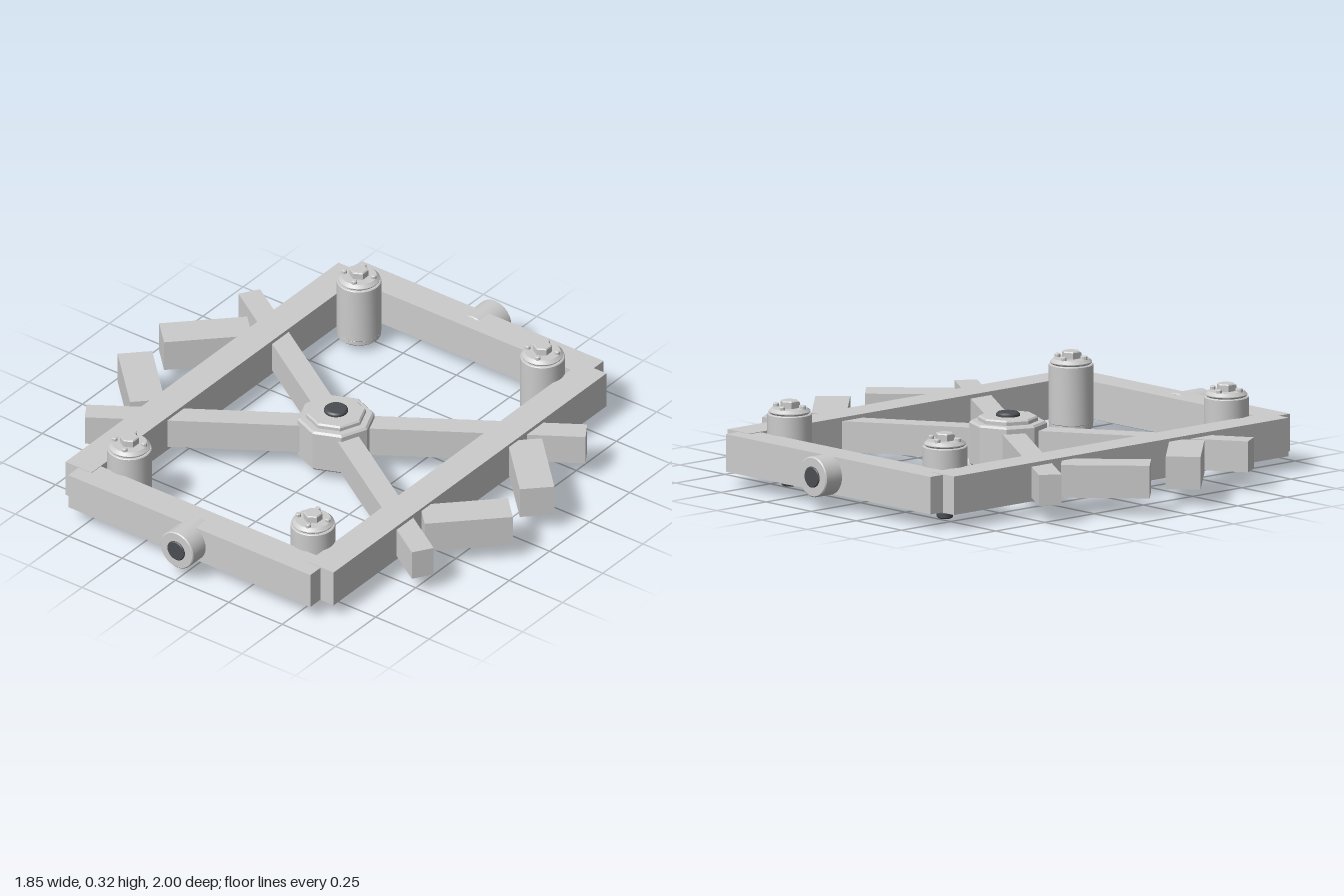
import * as THREE from 'three';
import { toCreasedNormals } from 'three/addons/utils/BufferGeometryUtils.js';

const grey = new THREE.MeshStandardMaterial({ color: 0xcccccc });
const dark = new THREE.MeshStandardMaterial({ color: 0x4a4d52 });
const MID = 0.13; // height of the frame's centre plane

function add(parent, name, geometry, x = 0, y = 0, z = 0, material = grey) {
  const mesh = new THREE.Mesh(geometry, material);
  mesh.name = name;
  mesh.position.set(x, y, z);
  parent.add(mesh);
  return mesh;
}

// Turned solid from [radius, height] points, bottom to top
function turned(points, sides) {
  const profile = points.map(([r, y]) => new THREE.Vector2(r, y));
  return toCreasedNormals(new THREE.LatheGeometry(profile, sides), 0.5);
}

// Vertical rod with a small chamfer on both ends
function rod(radius, bottom, top, sides = 24, c = 0.005) {
  return turned([[0, bottom], [radius - c, bottom], [radius, bottom + c],
    [radius, top - c], [radius - c, top], [0, top]], sides);
}

// Corner post with cap, hexagonal nut, small bolts and a dark foot
function cornerPost() {
  const post = new THREE.Group();
  post.name = 'cornerPost';
  add(post, 'postBody', rod(0.084, 0.05, 0.276, 32, 0.003));
  add(post, 'postCap', rod(0.079, 0.27, 0.297, 32, 0.012));
  add(post, 'postBase', rod(0.082, 0.03, 0.056, 32, 0.006));
  add(post, 'postNut', rod(0.036, 0.29, 0.325, 6, 0.004));
  add(post, 'postFoot', rod(0.031, 0, 0.04), 0, 0, 0, dark);
  for (let i = 0; i < 4; i++) {
    const a = -0.33 + i * Math.PI / 2;
    add(post, 'postBolt', rod(0.011, 0.28, 0.31, 10, 0.003),
      0.058 * Math.cos(a), 0, 0.058 * Math.sin(a));
  }
  return post;
}

export function createModel() {
  const model = new THREE.Group();
  model.name = 'frameAssembly';

  // Rectangular outer frame
  for (const s of [-1, 1]) {
    add(model, 'sideRail', new THREE.BoxGeometry(0.122, 0.147, 1.7), s * 0.567, MID, 0);
    add(model, 'endRail', new THREE.BoxGeometry(1.134, 0.143, 0.122), 0, MID, s * 0.853);
  }

  // Round pivots on the ends, each with a dark core
  for (const s of [-1, 1]) {
    const pivot = new THREE.Group();
    pivot.name = 'endPivot';
    pivot.position.set(0, MID, 0);
    pivot.rotation.x = s * Math.PI / 2;
    add(pivot, 'pivotSleeve', rod(0.077, 0.85, 0.994, 32, 0.004));
    add(pivot, 'pivotCore', rod(0.04, 0.9, 1.0, 24, 0.003), 0, 0, 0, dark);
    model.add(pivot);
  }

  // Crossed arms and slanted outer blocks
  for (const sx of [-1, 1]) for (const sz of [-1, 1]) {
    const angle = 0.573;
    const arm = add(model, 'diagonalArm', new THREE.BoxGeometry(0.9, 0.118, 0.087),
      sx * 0.49 * Math.cos(angle), MID, sz * 0.49 * Math.sin(angle));
    arm.rotation.y = -sx * sz * angle;
    const block = add(model, 'outerBlock', new THREE.BoxGeometry(0.333, 0.124, 0.131),
      sx * 0.762, MID, sz * 0.201);
    block.rotation.y = sx * sz * Math.PI / 4;
    const post = cornerPost();
    post.position.set(sx * 0.43, 0, sz * 0.715);
    model.add(post);
  }

  // Octagonal hub with stepped plates and a dark axle
  add(model, 'hubBody', rod(0.146, 0.045, 0.215, 8, 0.008));
  add(model, 'hubPlates', rod(0.113, 0.026, 0.234, 8, 0.006));
  add(model, 'hubAxle', rod(0.045, 0.012, 0.248, 24, 0.006), 0, 0, 0, dark);

  return model;
}
